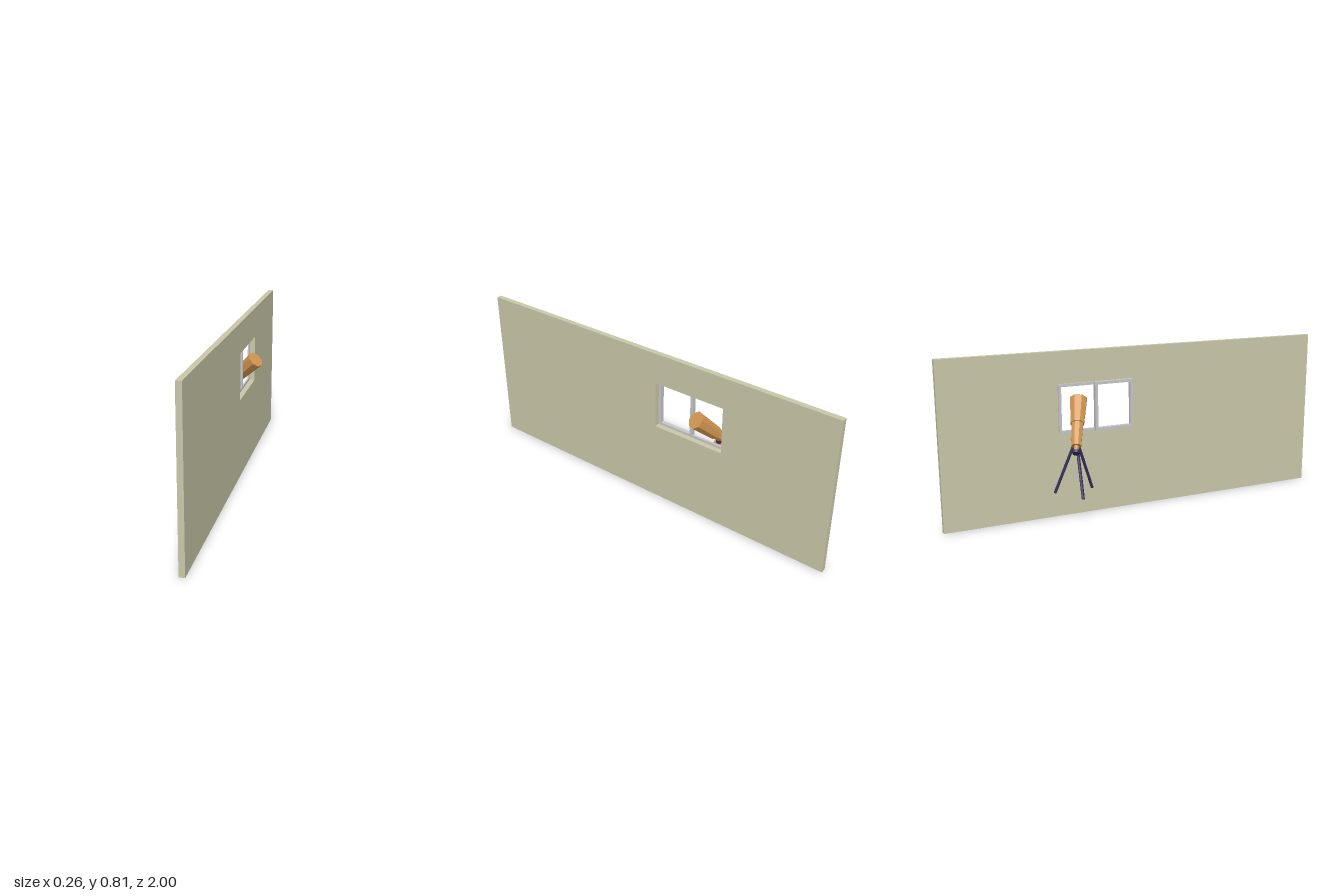
import * as THREE from 'three';

const material = (name, color) => Object.assign(new THREE.MeshStandardMaterial({ color, flatShading: true }), { name });

export function createModel() {
  const wallPaint = material('wallPaint', 0xcac8a9);
  const frameGrey = material('frameGrey', 0xc8c8ca);
  const wood = material('orangeWood', 0xd09550);
  const dark = material('darkPurple', 0x382f5c);

  const model = new THREE.Group();
  model.name = 'telescopeAtWindow';
  const add = (name, geometry, mat, parent = model) => {
    const mesh = new THREE.Mesh(geometry, mat);
    mesh.name = name;
    parent.add(mesh);
    return mesh;
  };

  // Upright panel in the YZ plane with a rectangular opening; a = -z
  const rect = (target, a0, a1, y0, y1) => {
    target.moveTo(a0, y0);
    target.lineTo(a1, y0);
    target.lineTo(a1, y1);
    target.lineTo(a0, y1);
    target.closePath();
    return target;
  };
  const panel = (outer, inner, x0, x1) => {
    const shape = rect(new THREE.Shape(), ...outer);
    shape.holes.push(rect(new THREE.Path(), ...inner));
    return new THREE.ExtrudeGeometry(shape, { depth: x1 - x0, bevelEnabled: false })
      .rotateY(Math.PI / 2).translate(x0, 0, 0);
  };

  // Wall with the window opening
  add('wall', panel([-1, 1, 0, 0.806], [0.051, 0.432, 0.412, 0.651], 0.042, 0.069), wallPaint);

  // Two sliding sashes, the front one standing further into the room
  const sash = (name, a0, a1, x0, x1) => {
    const b = 0.014;
    add(name, panel([a0, a1, 0.411, 0.651], [a0 + b, a1 - b, 0.411 + b, 0.651 - b], x0, x1), frameGrey);
  };
  sash('frontSash', 0.051, 0.25, 0.021, 0.042);
  sash('rearSash', 0.236, 0.432, 0.033, 0.0425);

  // Cylinder between two points, r0 at the start and r1 at the end
  const up = new THREE.Vector3(0, 1, 0);
  const rod = (name, from, to, r0, r1, mat, parent = model, sides = 8) => {
    const dir = to.clone().sub(from);
    const mesh = add(name, new THREE.CylinderGeometry(r1, r0, dir.length(), sides), mat, parent);
    mesh.position.copy(from).add(to).multiplyScalar(0.5);
    mesh.quaternion.setFromUnitVectors(up, dir.normalize());
    return mesh;
  };

  // Telescope tube sections along one tilted axis: start, end, radii
  const telescope = new THREE.Group();
  telescope.name = 'telescope';
  model.add(telescope);
  const eye = new THREE.Vector3(-0.105, 0.352, -0.402);
  const axis = new THREE.Vector3(0.202, 0.206, 0.094).normalize();
  const along = (s) => eye.clone().addScaledVector(axis, s);
  [
    ['eyepieceCap', -0.006, 0.008, 0.018, 0.018, dark],
    ['eyepieceTube', 0.006, 0.036, 0.012, 0.012, wood],
    ['rearTube', 0.034, 0.162, 0.024, 0.03, wood],
    ['frontTube', 0.16, 0.304, 0.034, 0.044, wood],
  ].forEach(([name, s0, s1, r0, r1, mat]) => rod(name, along(s0), along(s1), r0, r1, mat, telescope));

  // Mount: post, plate and tapered hub
  const cx = -0.016, cz = -0.366;
  const at = (y) => new THREE.Vector3(cx, y, cz);
  rod('mountPost', at(0.4), at(0.435), 0.014, 0.014, dark);
  rod('mountPlate', at(0.388), at(0.401), 0.028, 0.028, wood);
  rod('mountHub', at(0.371), at(0.388), 0.015, 0.028, wood);

  // Tripod legs
  for (const degrees of [186, 296, 64]) {
    const a = THREE.MathUtils.degToRad(degrees);
    const point = (r, y) => new THREE.Vector3(cx + r * Math.cos(a), y, cz + r * Math.sin(a));
    rod('tripodLeg', point(0.006, 0.38), point(0.107, 0.125), 0.0075, 0.0075, dark);
  }

  return model;
}
